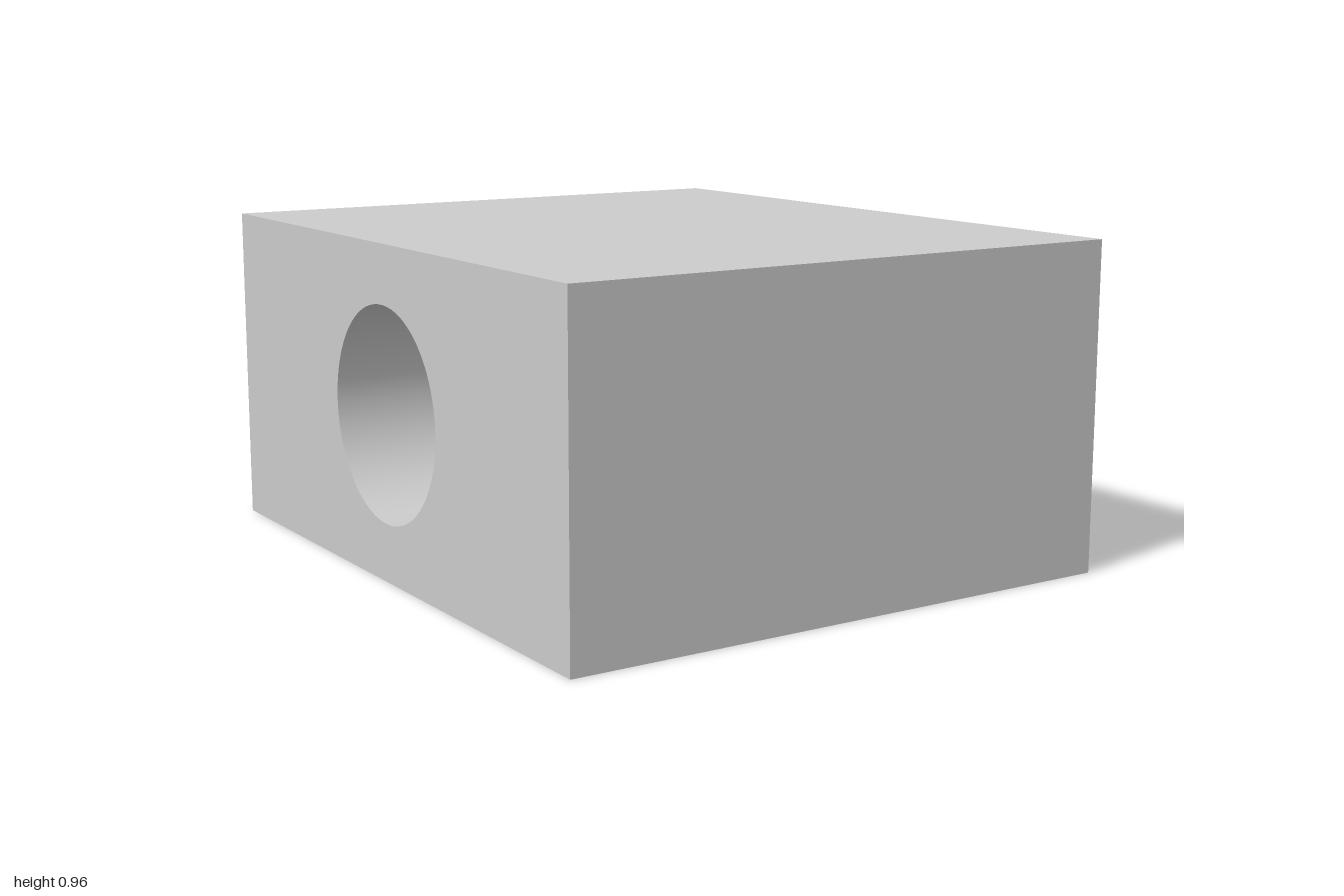
import * as THREE from 'three';
import { toCreasedNormals } from 'three/addons/utils/BufferGeometryUtils.js';

const WIDTH = 1.73, HEIGHT = 0.96, DEPTH = 2, HOLE_RADIUS = 0.31;

export function createModel() {
  const group = new THREE.Group();
  group.name = 'boredBlock';

  // Side profile of the block, with a round hole through its centre
  const w = DEPTH / 2, h = HEIGHT / 2;
  const profile = new THREE.Shape([
    new THREE.Vector2(-w, -h),
    new THREE.Vector2(w, -h),
    new THREE.Vector2(w, h),
    new THREE.Vector2(-w, h),
  ]);
  profile.holes.push(new THREE.Path().absarc(0, 0, HOLE_RADIUS, 0, Math.PI * 2, true));

  // Extrude across the width, then turn so the hole runs along x
  const extruded = new THREE.ExtrudeGeometry(profile, {
    depth: WIDTH, bevelEnabled: false, curveSegments: 64,
  });
  extruded.translate(0, 0, -WIDTH / 2).rotateY(Math.PI / 2).translate(0, h, 0);

  // Smooth bore, sharp block edges
  const block = new THREE.Mesh(
    toCreasedNormals(extruded, Math.PI / 6),
    new THREE.MeshStandardMaterial({ color: 0xcccccc }),
  );
  block.name = 'block';
  group.add(block);
  return group;
}
